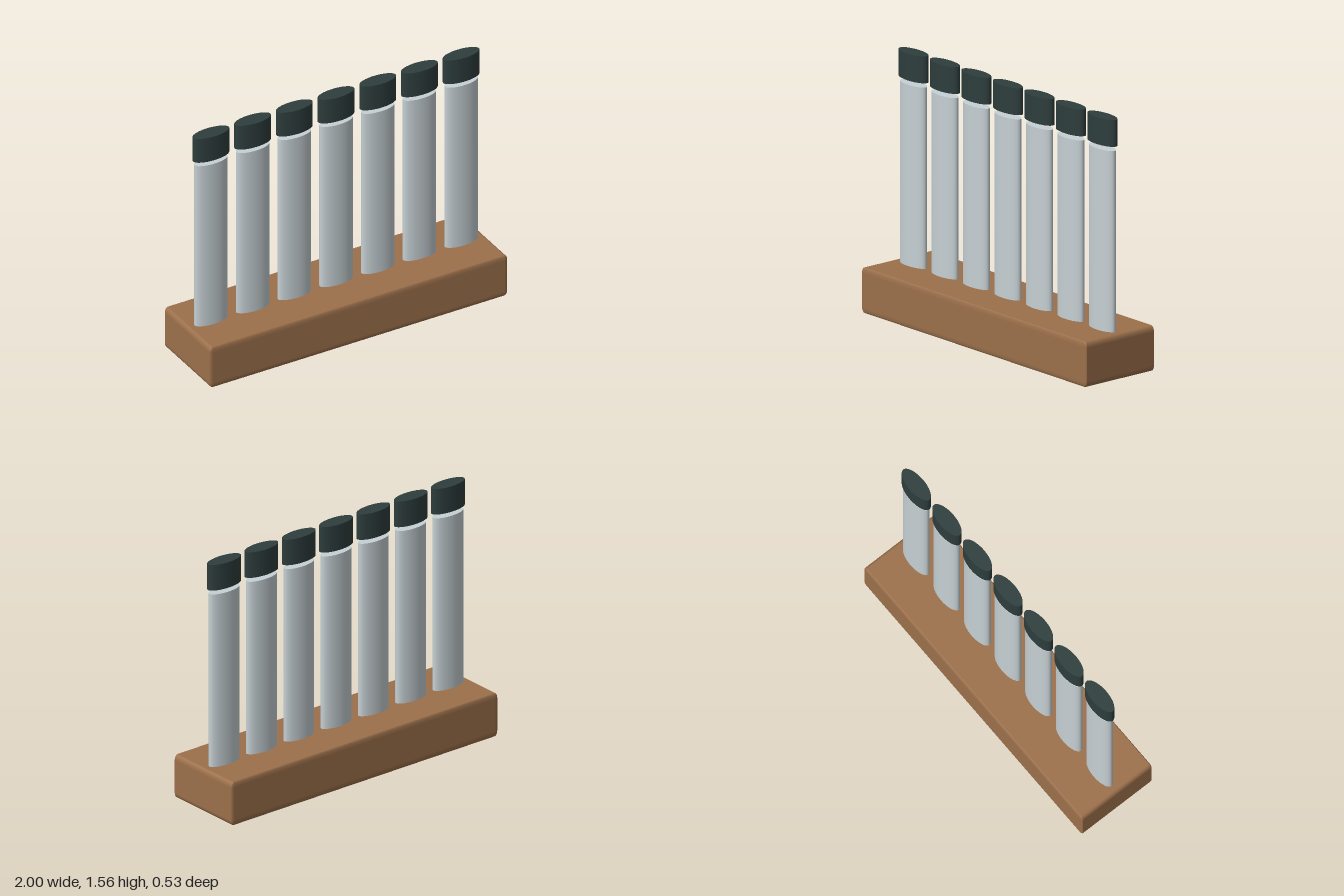
import * as THREE from 'three';
import { RoundedBoxGeometry } from 'three/addons/geometries/RoundedBoxGeometry.js';

const wood = new THREE.MeshStandardMaterial({ color: 0x9c704b });
wood.name = 'wood';
const paleGrey = new THREE.MeshStandardMaterial({ color: 0xc6d0d4 });
paleGrey.name = 'paleGrey';
const darkGreen = new THREE.MeshStandardMaterial({ color: 0x2e3d3d });
darkGreen.name = 'darkGreen';

// Upright elliptical cylinder between two heights
function ellipticCylinder(rx, rz, y0, y1) {
  const g = new THREE.CylinderGeometry(1, 1, y1 - y0, 48);
  g.scale(rx, 1, rz);
  g.translate(0, (y0 + y1) / 2, 0);
  return g;
}

// Box whose edge rounding differs along each axis
function softBox(w, h, d, rx, ry, rz) {
  const g = new RoundedBoxGeometry(w / rx, h / ry, d / rz, 4, 1);
  g.scale(rx, ry, rz);
  return g;
}

export function createModel() {
  const model = new THREE.Group();
  model.name = 'tubeRack';

  const base = new THREE.Mesh(softBox(2, 0.275, 0.526, 0.022, 0.035, 0.01), wood);
  base.name = 'base';
  base.position.y = 0.1375;
  model.add(base);

  // Seven flattened tubes, each with a cap hovering just above it
  const tubeGeometry = ellipticCylinder(0.11, 0.044, 0.2, 1.37);
  const capGeometry = ellipticCylinder(0.12, 0.049, 1.398, 1.56);
  for (let i = -3; i <= 3; i++) {
    const unit = new THREE.Group();
    unit.name = 'cappedTube';
    unit.position.x = i * 0.28;
    const tube = new THREE.Mesh(tubeGeometry, paleGrey);
    tube.name = 'tube';
    const cap = new THREE.Mesh(capGeometry, darkGreen);
    cap.name = 'cap';
    unit.add(tube, cap);
    model.add(unit);
  }
  return model;
}
